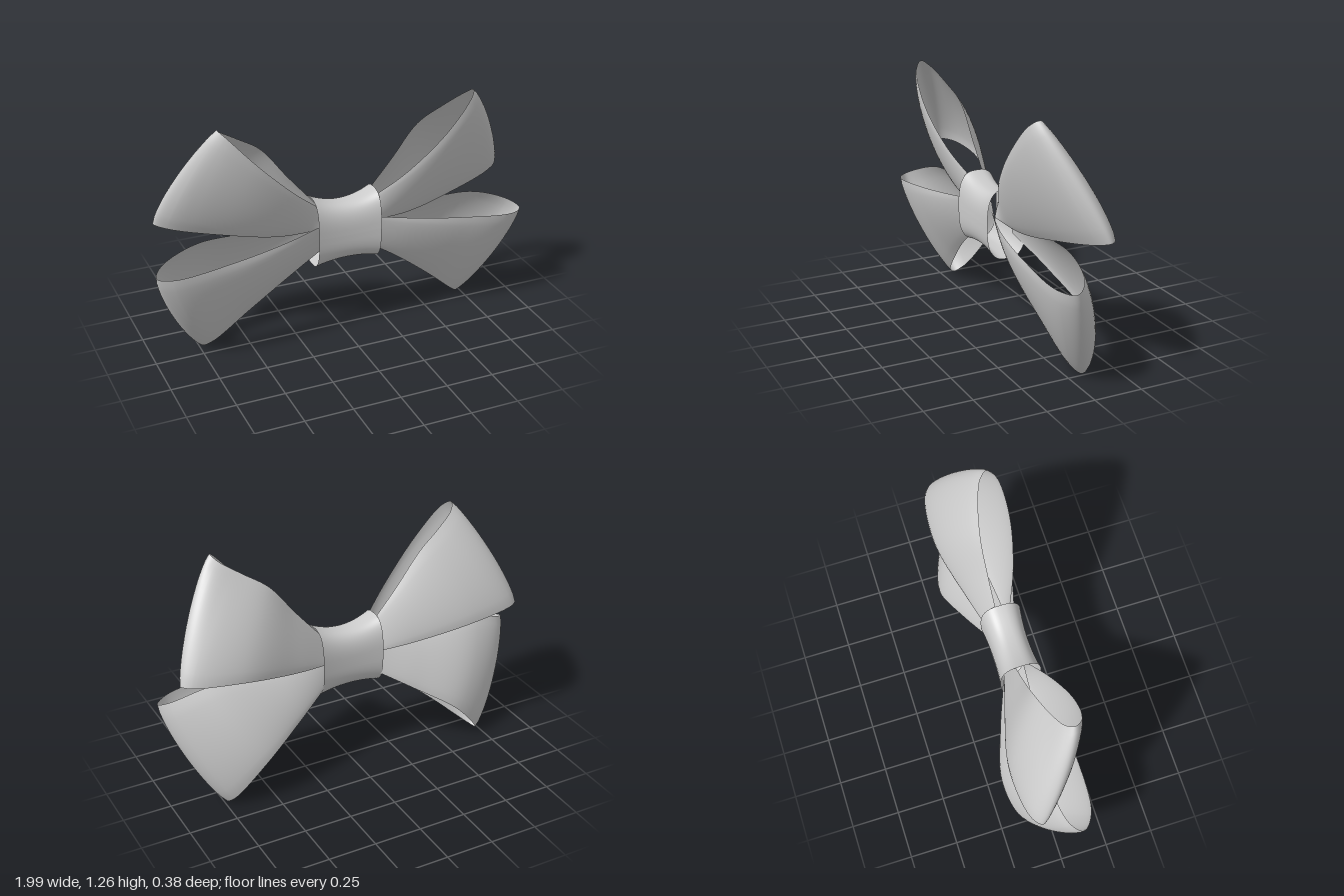
import * as THREE from 'three';

const material = new THREE.MeshStandardMaterial({ color: 0xcccccc, side: THREE.DoubleSide });

const curve = (points) =>
  new THREE.CatmullRomCurve3(points.map((p) => new THREE.Vector3(...p)), false, 'centripetal');

// Each ribbon edge runs from the knot along the front, round the fold and back
const LOOPS = {
  upper: {
    top: curve([
      [0.1, 0.71, 0.05], [0.3, 0.885, 0.145], [0.5, 1.085, 0.188], [0.64, 1.24, 0.165], [0.67, 1.268, 0.125],
      [0.645, 1.24, 0.085], [0.55, 1.175, 0.045], [0.42, 1.085, 0.015], [0.28, 0.91, 0.01], [0.1, 0.7, 0.01],
    ]),
    bottom: curve([
      [0.1, 0.62, 0.07], [0.35, 0.615, 0.05], [0.62, 0.66, 0.01], [0.88, 0.715, -0.055], [0.943, 0.735, -0.1],
      [0.9, 0.735, -0.145], [0.64, 0.71, -0.175], [0.33, 0.64, -0.1], [0.1, 0.6, -0.03],
    ]),
    bulge: new THREE.Vector3(0.034, 0.017, 0),
  },
  lower: {
    top: curve([
      [0.1, 0.66, 0.09], [0.35, 0.63, 0.155], [0.62, 0.59, 0.175], [0.92, 0.55, 0.16], [0.995, 0.545, 0.1],
      [0.95, 0.575, 0.04], [0.75, 0.635, -0.005], [0.4, 0.625, -0.02], [0.1, 0.63, -0.01],
    ]),
    bottom: curve([
      [0.1, 0.5, 0.04], [0.3, 0.37, 0.04], [0.5, 0.21, 0.01], [0.69, 0.04, -0.04], [0.735, 0.006, -0.085],
      [0.71, 0.045, -0.14], [0.55, 0.23, -0.188], [0.32, 0.385, -0.12], [0.1, 0.52, -0.03],
    ]),
    bulge: new THREE.Vector3(0.034, -0.017, 0),
  },
};

// Ribbon swept between two edges, bulging at the fold and puffed out on both layers
function loopMesh(level, side) {
  const { top, bottom, bulge } = LOOPS[level];
  const geometry = new THREE.PlaneGeometry(1, 1, 72, 16);
  const pos = geometry.attributes.position;
  for (let i = 0; i < pos.count; i++) {
    const u = pos.getX(i) + 0.5;
    const v = 0.5 - pos.getY(i);
    const p = top.getPoint(u).lerp(bottom.getPoint(u), v);
    const arch = (4 * v * (1 - v)) ** 0.75;
    p.addScaledVector(bulge, arch * Math.sin(Math.PI * u) ** 2);
    p.z += 0.034 * arch * Math.sin(2 * Math.PI * u);
    pos.setXYZ(i, side * p.x, p.y, p.z);
  }
  geometry.computeVertexNormals();
  const mesh = new THREE.Mesh(geometry, material);
  mesh.name = level + (side > 0 ? 'Left' : 'Right') + 'Loop';
  return mesh;
}

// Open waisted band with a rounded-box section
function knotMesh() {
  const geometry = new THREE.CylinderGeometry(1, 1, 0.34, 64, 16, true);
  geometry.rotateZ(Math.PI / 2);
  const pos = geometry.attributes.position;
  const soften = (c) => Math.sign(c) * Math.abs(c) ** 0.7;
  for (let i = 0; i < pos.count; i++) {
    const flare = (pos.getX(i) / 0.17) ** 2;
    const y = soften(pos.getY(i)) * (0.153 + 0.032 * flare);
    const z = soften(pos.getZ(i)) * (0.095 + 0.012 * flare);
    pos.setXYZ(i, pos.getX(i), 0.593 + 0.012 * flare + y, 0.037 + z);
  }
  geometry.computeVertexNormals();
  const mesh = new THREE.Mesh(geometry, material);
  mesh.name = 'knot';
  return mesh;
}

export function createModel() {
  const bow = new THREE.Group();
  bow.name = 'bow';
  for (const side of [1, -1]) {
    for (const level of ['upper', 'lower']) bow.add(loopMesh(level, side));
  }
  bow.add(knotMesh());
  return bow;
}
